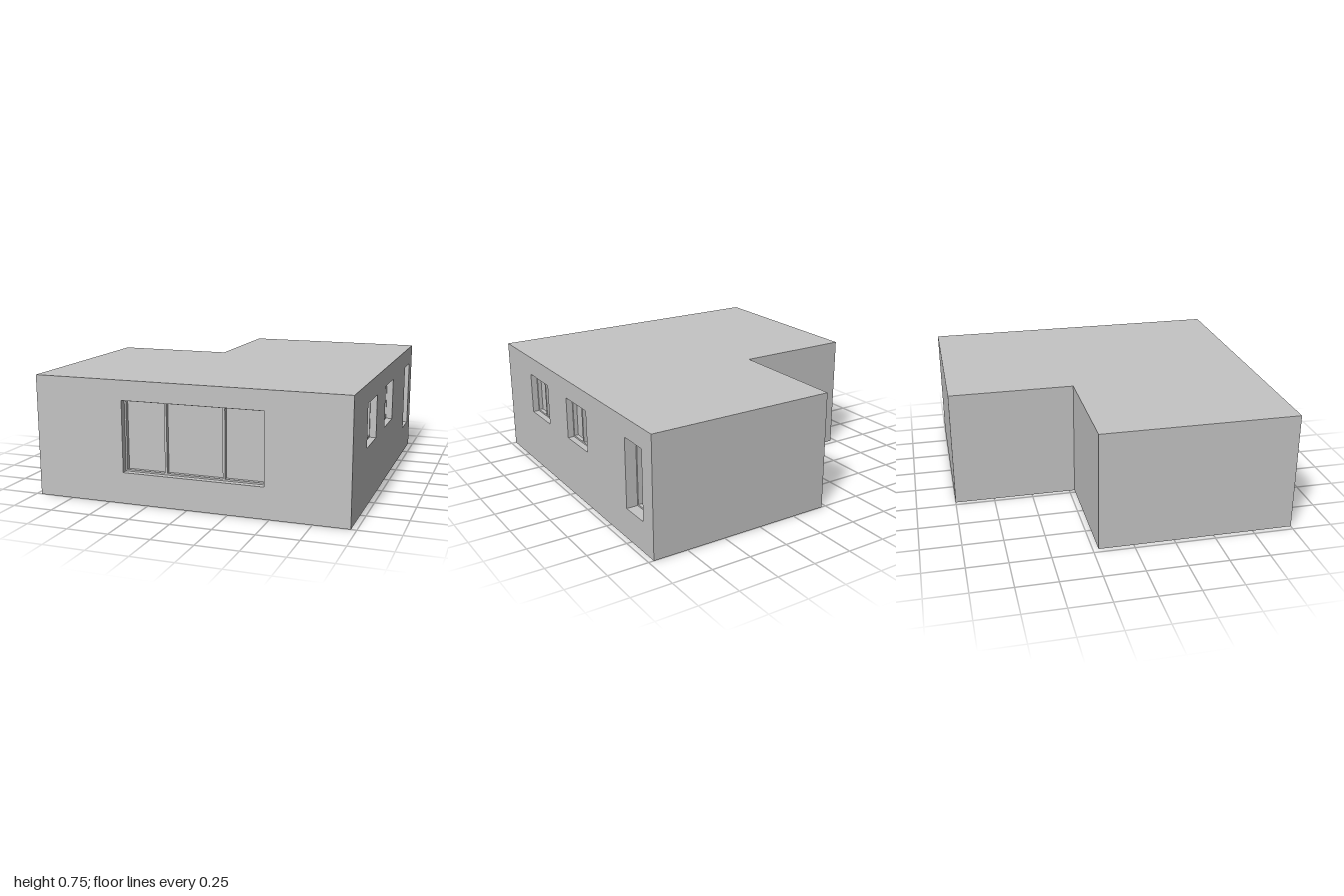
import * as THREE from 'three';

const W = 0.967, H = 0.745, D = 0.16; // half width, height, outer wall thickness

const rect = (T, u0, u1, y0, y1) => new T([
  new THREE.Vector2(u0, y0), new THREE.Vector2(u1, y0),
  new THREE.Vector2(u1, y1), new THREE.Vector2(u0, y1),
]);

export function createModel() {
  const model = new THREE.Group();
  model.name = 'building';
  const grey = new THREE.MeshStandardMaterial({ color: 0xc4c4c4 });
  grey.name = 'plain grey';

  const extrude = (parent, name, shape, depth, z = 0) => {
    const mesh = new THREE.Mesh(new THREE.ExtrudeGeometry(shape, { depth, bevelEnabled: false }), grey);
    mesh.name = name;
    mesh.position.z = z;
    parent.add(mesh);
    return mesh;
  };

  // L-shaped core, set back behind the front and right walls (shape y = -z)
  const plan = new THREE.Shape([
    [-W, -(1 - D)], [W - D, -(1 - D)], [W - D, 1], [-0.22, 1], [-0.22, 0.215], [-W, 0.215],
  ].map(([x, y]) => new THREE.Vector2(x, y)));
  extrude(model, 'core', plan, H).rotation.x = -Math.PI / 2;

  // A wall slab pierced by openings; local +z is outward
  const wall = (name, u0, u1, openings) => {
    const group = new THREE.Group();
    group.name = name;
    model.add(group);
    const slab = rect(THREE.Shape, u0, u1, 0, H);
    for (const o of openings) slab.holes.push(rect(THREE.Path, o.u0, o.u1, o.y0, o.y1));
    extrude(group, name + 'Slab', slab, D);

    for (const o of openings) {
      // Slim frame lining the opening
      const t = 0.01;
      const frame = rect(THREE.Shape, o.u0, o.u1, o.y0, o.y1);
      frame.holes.push(rect(THREE.Path, o.u0 + t, o.u1 - t, o.y0 + t, o.y1 - t));
      extrude(group, 'windowFrame', frame, D - (o.deep ? 0.07 : 0.04));
      if (o.deep) continue;
      // Pane and upright bars
      extrude(group, 'windowPane', rect(THREE.Shape, o.u0 + t, o.u1 - t, o.y0 + t, o.y1 - t), 0.008, D - 0.073);
      for (const u of o.bars)
        extrude(group, 'windowBar', rect(THREE.Shape, u - 0.007, u + 0.007, o.y0 + t, o.y1 - t), 0.03, D - 0.07);
    }
    return group;
  };

  // Front wall with the wide three-part window
  wall('frontWall', -W, W, [
    { u0: -0.405, u1: 0.47, y0: 0.19, y1: 0.625, bars: [-0.145, 0.215] },
  ]).position.z = 1 - D;

  // Side wall (u = -z) with two square windows and one deep narrow opening
  const side = wall('sideWall', -(1 - D), 1, [
    { u0: -0.615, u1: -0.34, y0: 0.36, y1: 0.625, bars: [-0.4775] },
    { u0: -0.06, u1: 0.215, y0: 0.36, y1: 0.625, bars: [0.0775] },
    { u0: 0.7, u1: 0.89, y0: 0.19, y1: 0.625, deep: true },
  ]);
  side.rotation.y = Math.PI / 2;
  side.position.x = W - D;

  return model;
}
